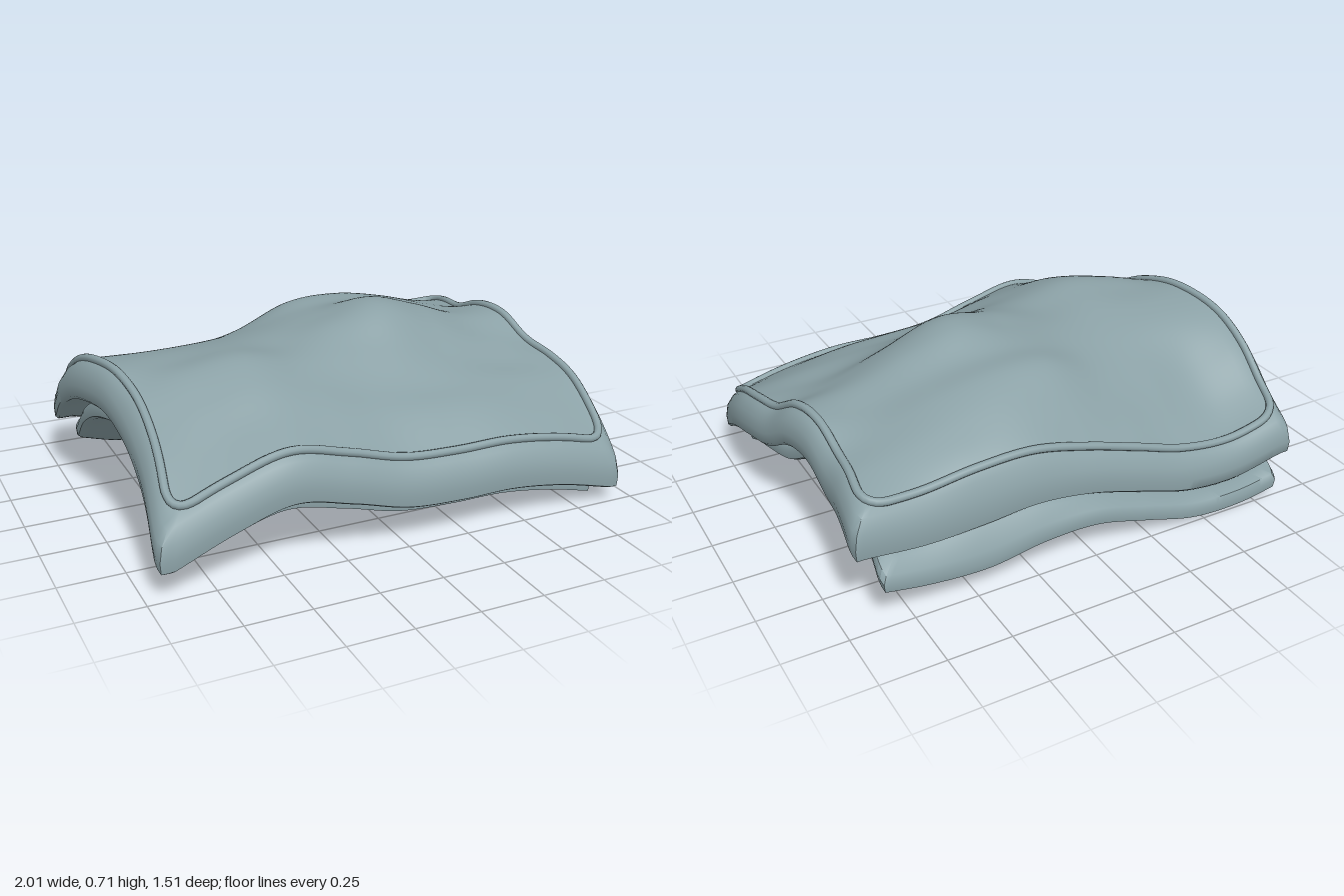
import * as THREE from 'three';
import { mergeVertices, toCreasedNormals } from 'three/addons/utils/BufferGeometryUtils.js';

const X0 = -0.9, X1 = 0.9, Z0 = -0.81, Z1 = 0.69;

// drape heights: rows run back to front, columns from -x to +x
const drape = [
  [0.29, 0.265, 0.265, 0.32, 0.37, 0.33, 0.275, 0.315, 0.375],
  [0.31, 0.26, 0.28, 0.35, 0.42, 0.47, 0.465, 0.44, 0.445],
  [0.37, 0.32, 0.37, 0.45, 0.535, 0.575, 0.555, 0.51, 0.475],
  [0.48, 0.43, 0.48, 0.54, 0.63, 0.64, 0.60, 0.535, 0.485],
  [0.56, 0.55, 0.56, 0.585, 0.64, 0.65, 0.61, 0.55, 0.55],
  [0.595, 0.595, 0.605, 0.61, 0.655, 0.705, 0.645, 0.565, 0.545],
  [0.595, 0.605, 0.63, 0.61, 0.655, 0.69, 0.61, 0.52, 0.47],
  [0.54, 0.605, 0.64, 0.60, 0.595, 0.58, 0.515, 0.46, 0.44],
  [0.46, 0.54, 0.59, 0.55, 0.505, 0.48, 0.46, 0.43, 0.40],
  [0.38, 0.455, 0.51, 0.485, 0.44, 0.425, 0.41, 0.37, 0.325],
  [0.28, 0.375, 0.44, 0.395, 0.335, 0.32, 0.32, 0.29, 0.235],
];

// smooth interpolation through evenly spaced values, s in 0..1
function spline(values, s) {
  const n = values.length - 1;
  const f = THREE.MathUtils.clamp(s, 0, 1) * n;
  const i = Math.min(Math.floor(f), n - 1), t = f - i;
  const b = values[i], c = values[i + 1];
  const a = i > 0 ? values[i - 1] : 2 * b - c;
  const d = i + 2 <= n ? values[i + 2] : 2 * c - b;
  return b + 0.5 * t * (c - a + t * (2 * a - 5 * b + 4 * c - d + t * (3 * (b - c) + d - a)));
}

// drape height, sagging a little past the front row
function height(x, z) {
  const column = drape.map((row) => spline(row, (x - X0) / (X1 - X0)));
  return spline(column, (z - Z0) / (Z1 - Z0)) - 0.45 * Math.max(0, z - Z1);
}

// sideways sway of the whole cloth
const sway = (z) => 0.045 * Math.sin((z * Math.PI) / 0.7);

// padded layer: profile lists [inset, drop below the drape] from bottom to top
function layer(name, halfX, back, front, profile, material) {
  const rows = profile.length - 1;
  let geometry = new THREE.BoxGeometry(2, rows, 2, 72, rows, 60);
  const p = geometry.attributes.position;
  for (let i = 0; i < p.count; i++) {
    const u = p.getX(i), v = p.getZ(i);
    const [inset, drop] = profile[Math.round(p.getY(i) + rows / 2)];
    const z = (back + front) / 2 + v * ((front - back) / 2 - inset);
    const x = u * (halfX - inset) * (1 - 0.02 * v ** 24) + sway(z);
    p.setXYZ(i, x, height(x, z) - drop, z);
  }
  geometry.deleteAttribute('normal');
  geometry.deleteAttribute('uv');
  geometry = toCreasedNormals(mergeVertices(geometry), 0.75);
  const mesh = new THREE.Mesh(geometry, material);
  mesh.name = name;
  return mesh;
}

// cord following a rounded rectangle laid on the drape
function piping(material) {
  const w = 0.895, r = 0.1, back = -0.652, front = 0.692;
  const outline = new THREE.Shape();
  outline.moveTo(-w + r, back);
  outline.lineTo(w - r, back);
  outline.quadraticCurveTo(w, back, w, back + r);
  outline.lineTo(w, front - r);
  outline.quadraticCurveTo(w, front, w - r, front);
  outline.lineTo(-w + r, front);
  outline.quadraticCurveTo(-w, front, -w, front - r);
  outline.lineTo(-w, back + r);
  outline.quadraticCurveTo(-w, back, -w + r, back);
  const points = outline.getSpacedPoints(160).slice(0, -1).map(({ x, y: z }) => {
    const sx = x + sway(z);
    return new THREE.Vector3(sx, height(sx, z) + 0.004, z);
  });
  const path = new THREE.CatmullRomCurve3(points, true);
  const mesh = new THREE.Mesh(new THREE.TubeGeometry(path, 320, 0.016, 10, true), material);
  mesh.name = 'piping';
  return mesh;
}

export function createModel() {
  const group = new THREE.Group();
  group.name = 'foldedBlanket';
  const cloth = new THREE.MeshStandardMaterial({ color: 0x8ba1a6 });
  cloth.name = 'greyBlueCloth';

  group.add(
    layer('topLayer', 0.958, -0.71, 0.755,
      [[0.015, 0.158], [0.003, 0.145], [0, 0.1], [0.01, 0.05], [0.035, 0.015], [0.06, 0]], cloth),
    layer('bottomLayer', 0.87, -0.755, 0.67,
      [[0.02, 0.255], [0.004, 0.245], [0, 0.21], [0.012, 0.185], [0.05, 0.17]], cloth),
    piping(cloth),
  );
  return group;
}
